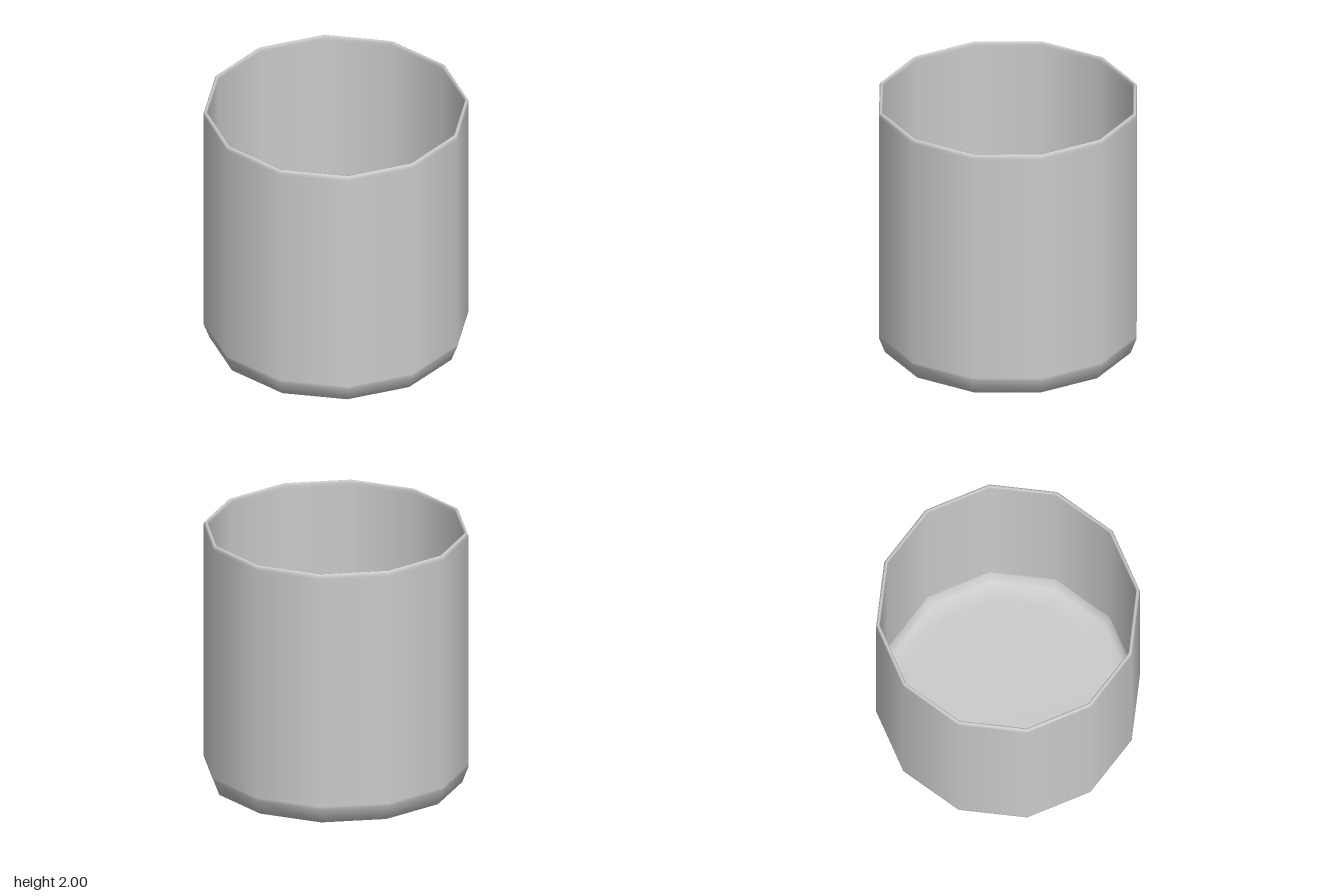
import * as THREE from 'three';

const SIDES = 12;

export function createModel() {
  const group = new THREE.Group();
  group.name = 'cup';

  // Wall profile: [corner radius, height], from the underside, up the wall, over the rim, down to the inner floor
  const profile = [
    [0, 0], [0.56, 0], [0.8, 0.005], [0.945, 0.01], // underside
    [0.99, 0.13], [0.99, 0.15], [0.99, 1.96], [0.99, 1.98], // outer wall
    [0.985, 1.994], [0.975, 2], [0.966, 1.998], // rounded rim
    [0.962, 1.985], [0.962, 1.96], [0.962, 0.16], [0.962, 0.14], // inner wall
    [0.92, 0.04], [0.77, 0.035], [0.53, 0.03], [0, 0.03], // inner floor
  ].map(([r, y]) => new THREE.Vector2(r, y));

  // Twelve sides, turned so flat sides face front, back, left and right
  const geometry = new THREE.LatheGeometry(profile, SIDES, Math.PI / SIDES);
  const material = new THREE.MeshStandardMaterial({ color: 0xcccccc });
  const body = new THREE.Mesh(geometry, material);
  body.name = 'cupBody';
  group.add(body);

  return group;
}
